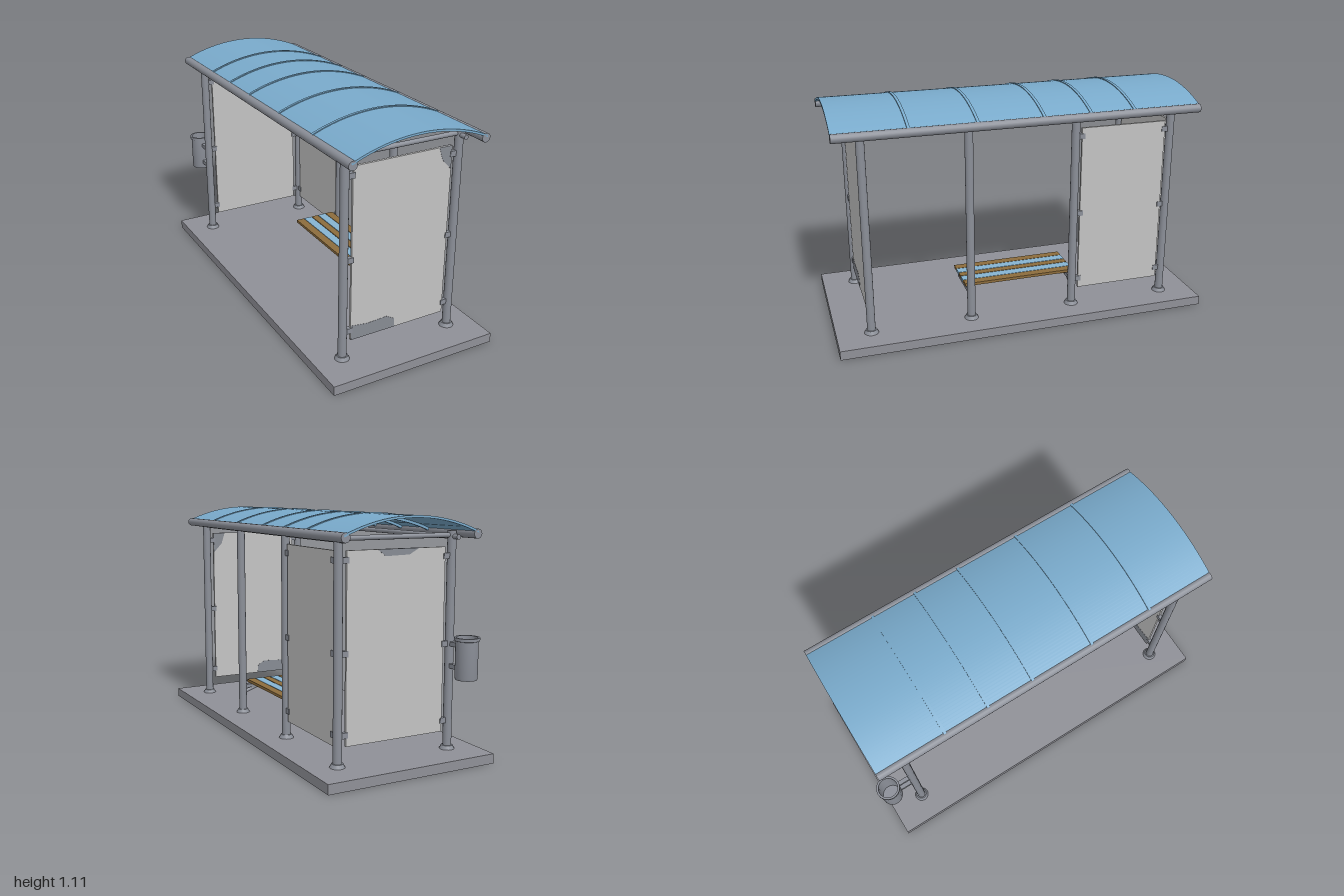
import * as THREE from 'three';
import { toCreasedNormals } from 'three/addons/utils/BufferGeometryUtils.js';

const material = (name, color) => {
  const m = new THREE.MeshStandardMaterial({ color });
  m.name = name;
  return m;
};

export function createModel() {
  const concrete = material('concrete', 0x8f9097);
  const steel = material('steel', 0x8b8f98);
  const roofBlue = material('roof blue', 0x79aacb);
  const panelGrey = material('panel grey', 0xc3c3c3);
  const wood = material('bench wood', 0x8c6c3c);
  const slatBlue = material('bench blue', 0x86b4d2);
  const patchGrey = material('worn patch grey', 0x878b93);

  const model = new THREE.Group();
  model.name = 'busShelter';
  // The whole shelter stands at an angle on its plot
  const shelter = new THREE.Group();
  shelter.name = 'shelter';
  shelter.rotation.y = 0.33;
  model.add(shelter);

  const add = (name, geometry, mat, x = 0, y = 0, z = 0, parent = shelter) => {
    const mesh = new THREE.Mesh(geometry, mat);
    mesh.name = name;
    mesh.position.set(x, y, z);
    parent.add(mesh);
    return mesh;
  };
  const box = (name, mat, w, h, d, x, y, z) => add(name, new THREE.BoxGeometry(w, h, d), mat, x, y, z);
  const tube = (name, mat, r, a, b) => {
    const from = new THREE.Vector3(...a), to = new THREE.Vector3(...b);
    const dir = to.clone().sub(from);
    const mesh = add(name, new THREE.CylinderGeometry(r, r, dir.length(), 16), mat);
    mesh.position.copy(from).add(to).multiplyScalar(0.5);
    mesh.quaternion.setFromUnitVectors(new THREE.Vector3(0, 1, 0), dir.normalize());
    return mesh;
  };

  // Ground slab
  box('slab', concrete, 0.84, 0.045, 1.83, 0, 0.0225, 0);

  // Posts with foot flanges: four along the back, two at the open side
  const postX = 0.285, endZ = 0.75, midZ = 0.26;
  const posts = [[-postX, -endZ], [-postX, endZ], [postX, -endZ], [postX, -midZ], [postX, midZ], [postX, endZ]];
  for (const [x, z] of posts) {
    tube('post', steel, 0.02, [x, 0.04, z], [x, 1.03, z]);
    add('postFoot', new THREE.CylinderGeometry(0.026, 0.035, 0.018, 16), steel, x, 0.053, z);
  }

  // Roof frame: edge beams, inner rails and cross bars
  for (const s of [-1, 1]) {
    tube('edgeBeam', steel, 0.021, [s * 0.325, 1.02, -0.88], [s * 0.325, 1.02, 0.88]);
    tube('innerRail', steel, 0.011, [s * postX, 1.003, -0.8], [s * postX, 1.003, 0.8]);
    tube('crossBar', steel, 0.011, [-0.325, 1.01, s * endZ], [0.325, 1.01, s * endZ]);
  }

  // Arched roof skin and the ribs at its seams
  const halfW = 0.335, rise = 0.072, topY = 1.103;
  const R = (halfW * halfW + rise * rise) / (2 * rise);
  const half = Math.asin(halfW / R);
  const arch = (name, mat, outer, inner, z0, z1) => {
    const shape = new THREE.Shape();
    shape.absarc(0, 0, R + outer, Math.PI / 2 - half, Math.PI / 2 + half, false);
    shape.absarc(0, 0, R + inner, Math.PI / 2 + half, Math.PI / 2 - half, true);
    const g = new THREE.ExtrudeGeometry(shape, { depth: z1 - z0, bevelEnabled: false, curveSegments: 24 });
    add(name, toCreasedNormals(g, 0.5), mat, 0, topY - R, z0);
  };
  arch('roofSkin', roofBlue, 0, -0.01, -0.88, 0.88);
  for (const z of [-0.54, -0.32, -0.09, 0.225, 0.54]) {
    arch('roofRib', roofBlue, 0.004, -0.022, z - 0.007, z + 0.007);
  }

  // Wall panels: one at each end, one along the back
  const panelY = 0.545, panelH = 0.83, thick = 0.012;
  for (const s of [-1, 1]) box('endPanel', panelGrey, 0.495, panelH, thick, 0, panelY, s * endZ);
  box('backPanel', panelGrey, thick, panelH, 0.43, postX, panelY, -0.506);

  // Clips holding the panels to the posts
  for (const y of [0.18, 0.53, 0.92]) {
    for (const s of [-1, 1]) {
      for (const t of [-1, 1]) box('panelClip', steel, 0.035, 0.026, 0.02, s * 0.256, y, t * endZ);
      box('panelClip', steel, 0.02, 0.026, 0.035, postX, y, -0.505 + s * 0.217);
    }
  }

  // Worn patches on the end panels, visible from both faces
  const patch = (points, z) => {
    const shape = new THREE.Shape(points.map(([x, y]) => new THREE.Vector2(x, y)));
    add('wornPatch', new THREE.ExtrudeGeometry(shape, { depth: thick + 0.002, bevelEnabled: false }),
      patchGrey, 0, 0, z - thick / 2 - 0.001);
  };
  patch([[-0.245, 0.13], [-0.015, 0.13], [-0.02, 0.175], [-0.06, 0.197], [-0.16, 0.192], [-0.245, 0.203]], endZ);
  patch([[0.247, 0.85], [0.247, 0.96], [0.18, 0.96], [0.2, 0.9]], endZ);
  patch([[-0.11, 0.96], [-0.06, 0.933], [0.06, 0.93], [0.1, 0.96]], -endZ);

  // Bench: wooden slats with blue slats between, carried by two brackets
  const slats = [[0.05, 0.042, wood], [0.096, 0.044, slatBlue], [0.14, 0.036, wood], [0.184, 0.044, slatBlue], [0.23, 0.042, wood]];
  for (const [x, w, mat] of slats) box('benchSlat', mat, w, 0.014, 0.56, x, 0.206, 0);
  for (const s of [-1, 1]) {
    box('benchCrosspiece', wood, 0.2, 0.008, 0.04, 0.14, 0.196, s * 0.24);
    box('benchBracket', steel, 0.21, 0.018, 0.028, 0.185, 0.184, s * midZ);
    tube('benchStrut', steel, 0.009, [0.2, 0.18, s * midZ], [postX, 0.15, s * midZ]);
  }

  // Litter bin hung on the corner post
  const bin = new THREE.Group();
  bin.name = 'litterBin';
  bin.position.set(-postX, 0, -0.875);
  shelter.add(bin);
  const profile = [[0, 0.39], [0.048, 0.39], [0.05, 0.4], [0.05, 0.56], [0.056, 0.562], [0.056, 0.576],
    [0.046, 0.576], [0.045, 0.41], [0, 0.41]].map(([r, y]) => new THREE.Vector2(r, y));
  add('binBody', toCreasedNormals(new THREE.LatheGeometry(profile, 24), 0.6), steel, 0, 0, 0, bin);
  for (const y of [0.43, 0.53]) {
    add('binBracket', new THREE.BoxGeometry(0.02, 0.02, 0.07), steel, 0, y, 0.08, bin);
  }

  return model;
}
